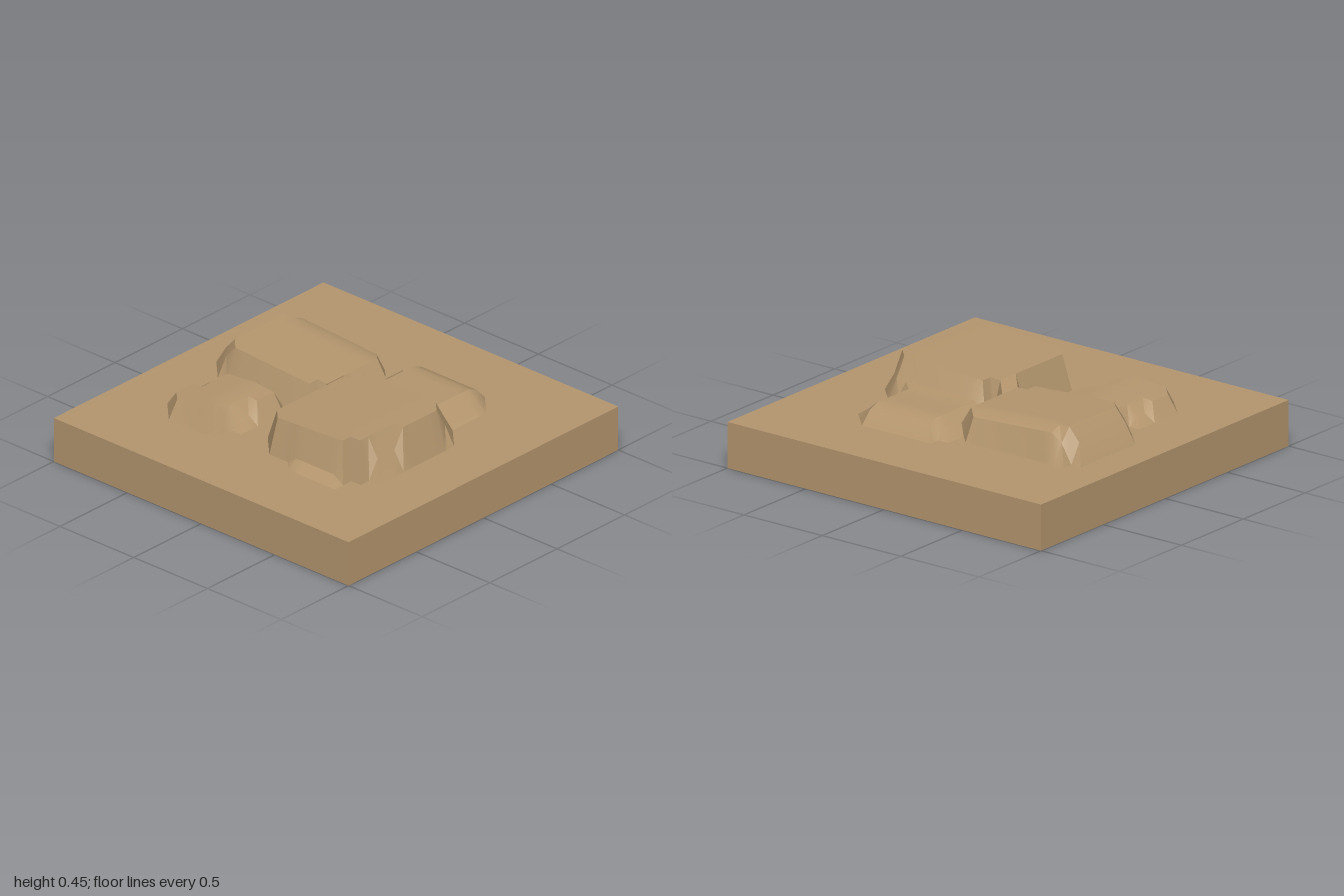
import * as THREE from 'three';
import { toCreasedNormals } from 'three/addons/utils/BufferGeometryUtils.js';

const CELLS = 32, GROUND = 0.245;
const toGrid = (v) => Math.round((v + 1) * CELLS / 2);

// Height rules of the four plateau tops
const backLeftTop = (x, z) => 0.38 - 0.055 * x - (z < -0.4 ? 0.025 : 0);
const frontRightTop = (x) => Math.min(0.45, 0.425 + 0.05 * x);
const backRightTop = (x, z) => (z < -0.53 ? 0.31 : 0.335);
const frontLeftTop = (x) => 0.355 - 0.1 * Math.abs(x + 0.38);
const shoulder = () => 0.345;
const ledge = () => 0.285;

// Raises the grid points inside a rectangle, optionally without its corner points
function raise(terrain, height, x0, x1, z0, z1, cutCorners = true) {
  const p = terrain.attributes.position;
  const [c0, c1, r0, r1] = [x0, x1, z0, z1].map(toGrid);
  for (let r = r0; r <= r1; r++) for (let c = c0; c <= c1; c++) {
    if (cutCorners && (r === r0 || r === r1) && (c === c0 || c === c1)) continue;
    const i = r * (CELLS + 1) + c;
    p.setY(i, Math.max(p.getY(i), height(p.getX(i), p.getZ(i))));
  }
}

// Grid surface whose cells split from the back left to the front right corner
function createTerrain() {
  const terrain = new THREE.PlaneGeometry(2, 2, CELLS, CELLS);
  terrain.rotateX(-Math.PI / 2).translate(0, GROUND, 0);

  // Back left plateau with a stepped left side
  raise(terrain, backLeftTop, -0.69, -0.06, -0.44, 0.06);
  raise(terrain, shoulder, -0.75, -0.06, -0.44, 0.06);

  // Front right plateau, wider towards the back, with a low toe in front
  raise(terrain, frontRightTop, 0, 0.56, -0.125, 0.5);
  raise(terrain, frontRightTop, 0.06, 0.625, -0.125, 0.25);
  raise(terrain, shoulder, 0.06, 0.625, -0.19, 0.44);
  raise(terrain, ledge, 0.25, 0.5, 0.5, 0.56, false);

  // Back right plateau and its side ledges
  raise(terrain, backRightTop, 0.06, 0.44, -0.56, -0.19, false);
  raise(terrain, ledge, 0, 0.5, -0.5, -0.19, false);

  // Small front left plateau, stepping outwards to the front
  raise(terrain, frontLeftTop, -0.56, -0.25, 0.19, 0.31, false);
  raise(terrain, frontLeftTop, -0.625, -0.31, 0.31, 0.56);
  raise(terrain, ledge, -0.625, -0.25, 0.25, 0.44, false);

  // Leave out faces that lie flat on the slab
  const p = terrain.attributes.position;
  const index = [];
  for (let r = 0; r < CELLS; r++) for (let c = 0; c < CELLS; c++) {
    const a = r * (CELLS + 1) + c, b = a + CELLS + 1;
    for (const face of [[a, b, b + 1], [a, b + 1, a + 1]]) {
      if (face.some((i) => p.getY(i) > GROUND + 0.001)) index.push(...face);
    }
  }
  terrain.setIndex(index);
  return toCreasedNormals(terrain, 0.5);
}

export function createModel() {
  const group = new THREE.Group();
  const sandstone = new THREE.MeshStandardMaterial({ color: 0xb4966e });
  sandstone.name = 'sandstone';

  // Square ground slab
  const slab = new THREE.Mesh(new THREE.BoxGeometry(2, GROUND, 2), sandstone);
  slab.position.y = GROUND / 2;
  slab.name = 'groundSlab';

  // Raised rock plateaus
  const rocks = new THREE.Mesh(createTerrain(), sandstone);
  rocks.name = 'rockPlateaus';

  group.add(slab, rocks);
  return group;
}
